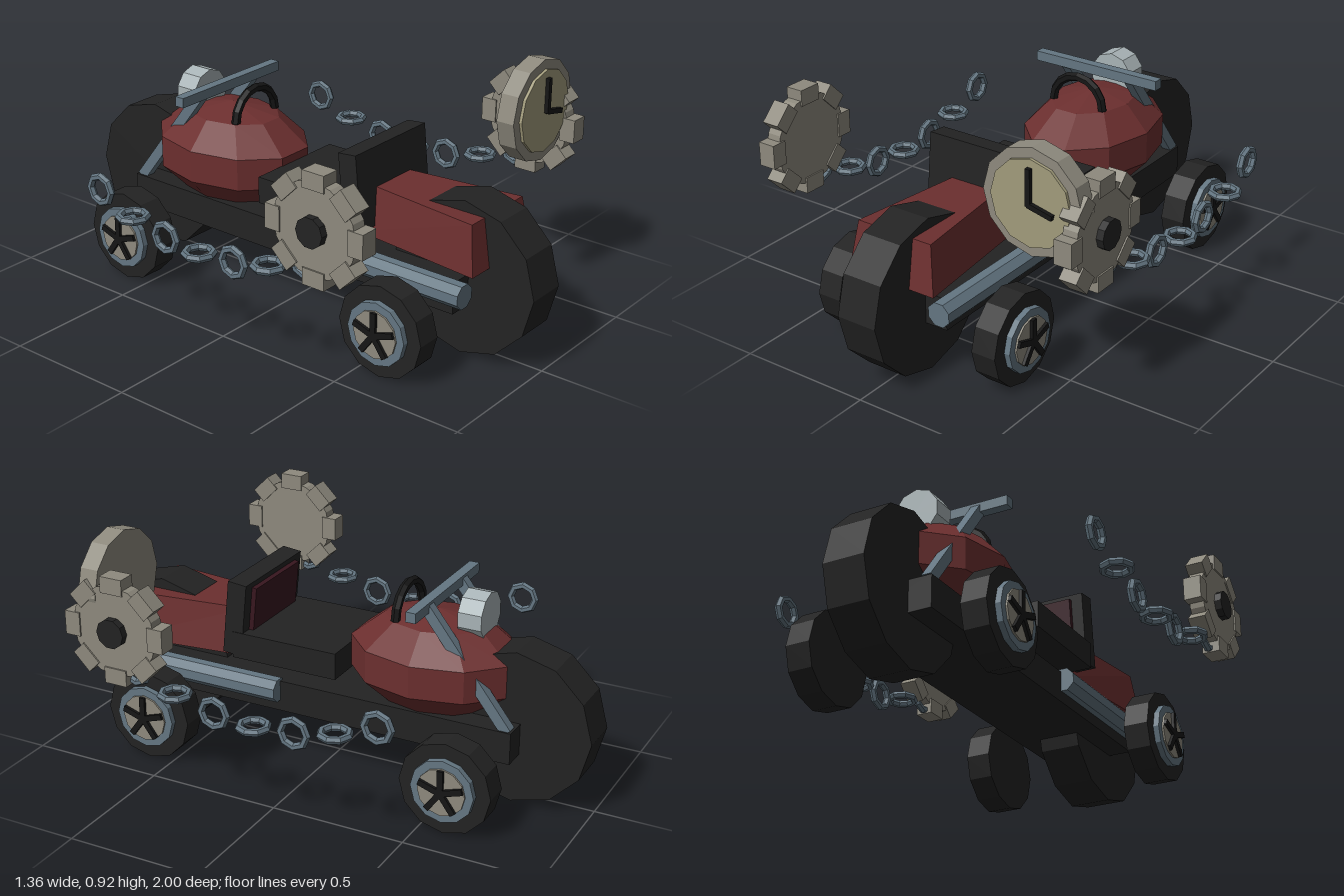
import * as THREE from 'three';

const mat = (name, color) => Object.assign(new THREE.MeshStandardMaterial({ color, flatShading: true }), { name });

export function createModel() {
  const M = {
    rubber: mat('dark rubber', 0x232323),
    black: mat('black iron', 0x151515),
    red: mat('red paint', 0x6c2f2f),
    steel: mat('blue steel', 0x647682),
    stone: mat('grey brass', 0x8e8a7e),
    face: mat('clock face', 0xa29c7c),
    maroon: mat('maroon leather', 0x38161f),
    lamp: mat('lamp glass', 0xa9b4b7),
  };
  const root = new THREE.Group();
  root.name = 'vehicle';

  const add = (name, geo, m, x = 0, y = 0, z = 0, parent = root) => {
    const mesh = new THREE.Mesh(geo, m);
    mesh.name = name;
    mesh.position.set(x, y, z);
    parent.add(mesh);
    return mesh;
  };
  const box = (w, h, d) => new THREE.BoxGeometry(w, h, d);
  // Cylinders lying along x or along z, with a corner pointing up
  const cylX = (r, w, n = 12) => new THREE.CylinderGeometry(r, r, w, n).rotateZ(Math.PI / 2);
  const cylZ = (r, w, n = 12) => new THREE.CylinderGeometry(r, r, w, n).rotateX(Math.PI / 2);
  const group = (name, x, y, z) => {
    const g = new THREE.Group();
    g.name = name;
    g.position.set(x, y, z);
    root.add(g);
    return g;
  };

  // Chassis and large centre wheels
  add('chassis', box(0.33, 0.118, 1.48), M.rubber, 0, 0.257, 0);
  for (const s of [1, -1]) add('centreWheel', cylX(0.285, 0.155), M.rubber, 0, 0.295, s * 0.715);

  // Outrigger wheels with rim, hub and five spokes on the outer side
  for (const sx of [1, -1]) for (const sz of [1, -1]) {
    const g = group('sideWheel', sx * 0.333, 0.172, sz * 0.595);
    add('tyre', cylX(0.17, 0.094), M.rubber, 0, 0, 0, g);
    add('rim', cylX(0.117, 0.022), M.steel, sx * 0.058, 0, 0, g);
    add('hub', cylX(0.088, 0.008), M.stone, sx * 0.072, 0, 0, g);
    for (let i = 0; i < 5; i++) {
      const spoke = box(0.012, 0.085, 0.022).translate(0, 0.0425, 0).rotateX(i * Math.PI * 2 / 5);
      add('spoke', spoke, M.black, sx * 0.081, 0, 0, g);
    }
  }

  // Tapered cowl behind the seat: each box corner is moved by its signs
  const cowl = box(2, 2, 2), p = cowl.attributes.position;
  for (let i = 0; i < p.count; i++) {
    const x = p.getX(i), y = p.getY(i), z = p.getZ(i);
    const halfWidth = z > 0 ? (y > 0 ? 0.152 : 0.178) : (y > 0 ? 0.095 : 0.12);
    p.setXYZ(i, x * halfWidth, y > 0 ? 0.54 : 0.363, z > 0 ? (y > 0 ? 0.795 : 0.822) : (y > 0 ? 0.34 : 0.3));
  }
  cowl.computeVertexNormals();
  add('rearCowl', cowl, M.red);

  // Exhaust pipes
  for (const s of [1, -1]) add('exhaustPipe', cylZ(0.046, 0.63, 8).rotateZ(Math.PI / 8), M.steel, s * 0.172, 0.283, 0.475);

  // Seat, leaning backrest and cushion
  add('seat', box(0.405, 0.1, 0.42), M.rubber, 0, 0.44, 0.125);
  const back = group('backrest', 0, 0.54, 0.325);
  back.rotation.x = -0.1;
  add('backPanel', box(0.4, 0.28, 0.075), M.rubber, 0, 0, 0, back);
  add('backCushion', box(0.31, 0.2, 0.02), M.maroon, 0, 0.02, -0.046, back);

  // Faceted tank with an arched grab handle
  const tank = new THREE.SphereGeometry(1, 10, 5).scale(0.247, 0.193, 0.335);
  add('tank', tank, M.red, 0, 0.46, -0.385);
  add('grabHandle', new THREE.TorusGeometry(0.108, 0.017, 6, 8, Math.PI), M.black, 0, 0.62, -0.273);

  // Handlebar, fork struts and headlamp
  add('handlebar', box(0.53, 0.037, 0.038), M.steel, 0, 0.716, -0.404);
  for (const s of [1, -1]) {
    const a = new THREE.Vector2(-0.405, 0.715), b = new THREE.Vector2(-0.72, 0.31);
    const d = b.clone().sub(a);
    const strut = add('forkStrut', box(0.036, d.length(), 0.04), M.steel, s * 0.14, (a.y + b.y) / 2, (a.x + b.x) / 2);
    strut.rotation.x = Math.atan2(d.x, d.y);
  }
  add('headlamp', cylZ(0.088, 0.088, 10), M.lamp, 0, 0.66, -0.54);

  // Floating gears with a hub on the outer side
  for (const s of [1, -1]) {
    const g = group('gear', s * 0.62, 0.622, 0.532);
    add('gearBody', cylX(0.167, 0.056, 16), M.stone, 0, 0, 0, g);
    for (let i = 0; i < 8; i++) {
      const tooth = box(0.067, 0.06, 0.088).translate(0, 0.168, 0).rotateX(i * Math.PI / 4);
      add('tooth', tooth, M.stone, 0, 0, 0, g);
    }
    add('gearHub', cylX(0.054, 0.036, 10), M.rubber, s * 0.036, 0, 0, g);
  }

  // Sagging chains of alternating upright and flat links
  for (const s of [1, -1]) for (let i = -3; i <= 3; i++) {
    const z = i * 0.155 + 0.005;
    const link = new THREE.TorusGeometry(0.05, 0.014, 6, 8);
    if (i % 2) link.rotateY(Math.PI / 2);
    else link.rotateX(Math.PI / 2);
    add('chainLink', link, M.steel, s * 0.615, 0.372 + 0.5 * z * z, z);
  }

  // Clock beside the left gear
  const clock = group('clock', 0.462, 0.73, 0.635);
  add('clockCase', cylZ(0.19, 0.07), M.stone, 0, 0, 0, clock);
  add('clockDial', cylZ(0.154, 0.012), M.face, 0, 0, 0.04, clock);
  add('longHand', box(0.018, 0.13, 0.015), M.black, 0, 0.06, 0.054, clock);
  const hand = add('shortHand', box(0.095, 0.018, 0.015), M.black, 0.045, -0.01, 0.054, clock);
  hand.rotation.z = -0.22;

  return root;
}
